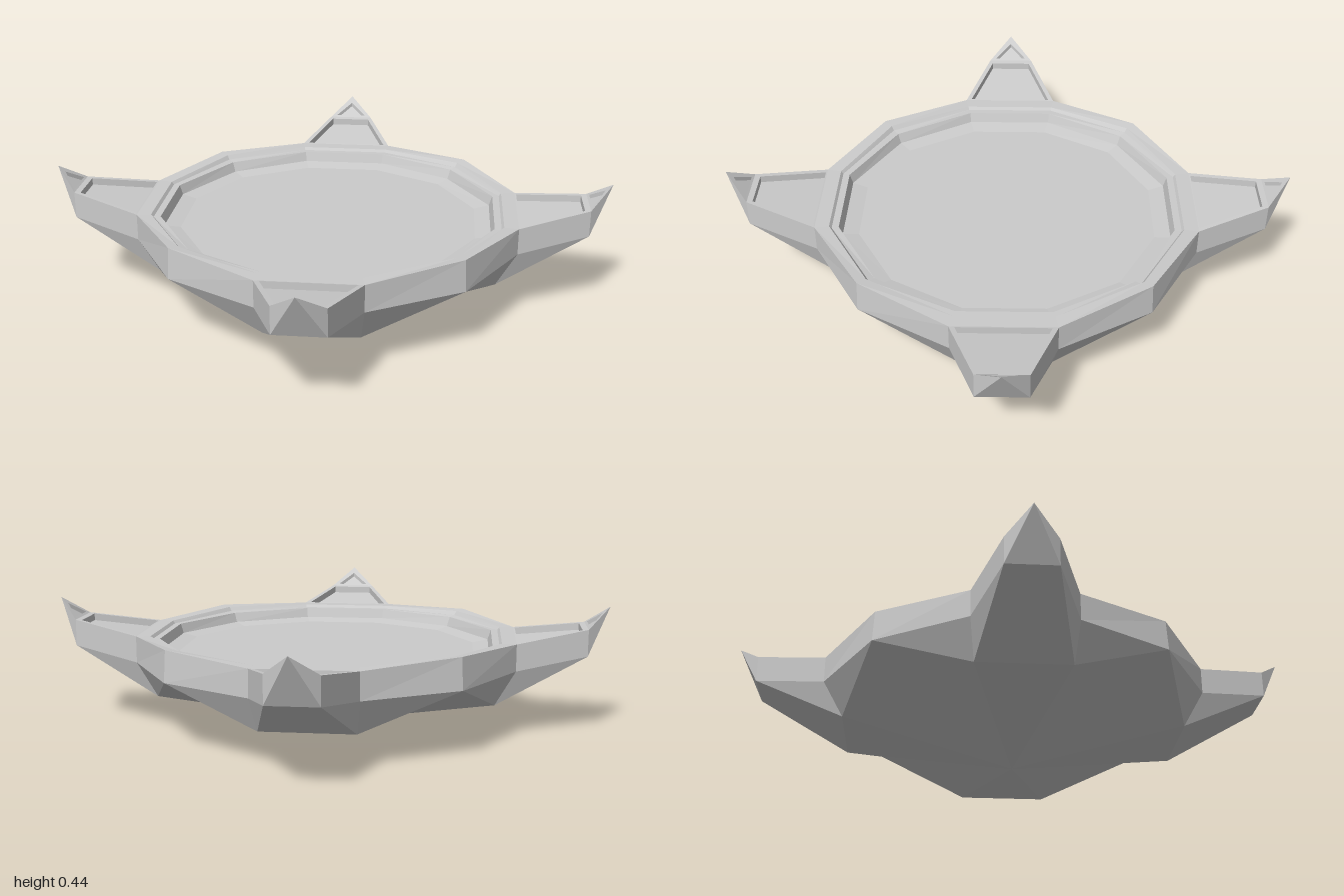
import * as THREE from 'three';

const material = new THREE.MeshStandardMaterial({ color: 0xcccccc, flatShading: true });

// Collects flat polygons (corners counterclockwise from outside) into one mesh
class Facets {
  constructor() { this.data = []; }
  face(...p) {
    for (let i = 1; i < p.length - 1; i++) this.data.push(...p[0], ...p[i], ...p[i + 1]);
    return this;
  }
  // The polygon and its mirror image across x = 0
  mirrored(...p) {
    this.face(...p);
    return this.face(...p.map(([x, y, z]) => [-x, y, z]).reverse());
  }
  // Band between two closed loops; keep(i) chooses the sides
  band(a, b, keep = () => true) {
    a.forEach((p, i) => {
      const j = (i + 1) % a.length;
      if (keep(i)) this.face(p, a[j], b[j], b[i]);
    });
    return this;
  }
  mesh(name) {
    const g = new THREE.BufferGeometry();
    g.setAttribute('position', new THREE.Float32BufferAttribute(this.data, 3));
    g.computeVertexNormals();
    const m = new THREE.Mesh(g, material);
    m.name = name;
    return m;
  }
}

// Twelve-sided loop: half side h at distance a on each axis, corner at (c, c)
function loop(h, a, y, c, cornerY = y) {
  const pts = [];
  let quarter = [[-h, y, a], [h, y, a], [c, cornerY, c]];
  for (let k = 0; k < 4; k++) {
    pts.push(...quarter);
    quarter = quarter.map(([x, py, z]) => [z, py, -x]);
  }
  return pts;
}

const lower = (pts, d) => pts.map(([x, y, z]) => [x, y - d, z]);

// Pointed arm facing +z
function createArm() {
  const arm = new THREE.Group();
  arm.name = 'arm';
  const keel = [0.16, 0.115, 0.6], base = [0.175, 0.24, 0.67], end = [0.085, 0.28, 0.92];
  const baseTop = [0.175, 0.335, 0.67], endTop = [0.085, 0.375, 0.92], tip = [0, 0.445, 1];
  const flip = ([x, y, z]) => [-x, y, z];

  arm.add(new Facets()
    .face(flip(keel), keel, end, flip(end))
    .mirrored(keel, base, end)
    .mirrored(end, base, baseTop, endTop)
    .mirrored(end, endTop, tip)
    .face(flip(end), end, tip)
    .mesh('armShell'));

  // Recessed trapezoid panel
  const pA = [0.155, 0.336, 0.675], pB = [0.075, 0.372, 0.9];
  const panel = [flip(pA), flip(pB), pB, pA];
  arm.add(new Facets()
    .band([flip(baseTop), flip(endTop), endTop, baseTop], panel)
    .band(panel, lower(panel, 0.025))
    .face(...lower(panel, 0.025))
    .mesh('armPanel'));

  // Recessed triangle at the tip
  const q = [0.06, 0.381, 0.927];
  const notch = [flip(q), [0, 0.423, 0.975], q];
  arm.add(new Facets()
    .band([flip(endTop), tip, endTop], notch)
    .band(notch, lower(notch, 0.015))
    .face(...lower(notch, 0.015))
    .mesh('tipPanel'));
  return arm;
}

export function createModel() {
  const model = new THREE.Group();
  model.name = 'fourPointedTray';

  const keel = loop(0.16, 0.6, 0.115, 0.49, 0.24);
  const wallBottom = loop(0.175, 0.67, 0.24, 0.49);
  const wallTop = loop(0.175, 0.67, 0.335, 0.485, 0.35);
  const betweenArms = (i) => i % 3 !== 0;

  // Faceted underside meeting at a point
  const underside = new Facets();
  keel.forEach((p, i) => underside.face([0, 0, 0], keel[(i + 1) % 12], p));
  underside.band(keel, wallBottom, betweenArms);
  model.add(underside.mesh('underside'));

  model.add(new Facets().band(wallBottom, wallTop, betweenArms).mesh('outerWall'));

  // Rim with a shallow step, then the drop to the tray floor
  const rimInner = loop(0.165, 0.62, 0.335, 0.458, 0.345);
  const step = loop(0.163, 0.612, 0.325, 0.45, 0.33);
  const ledge = loop(0.157, 0.588, 0.325, 0.432, 0.325);
  const wallFoot = loop(0.154, 0.577, 0.29, 0.422);
  const floorEdge = loop(0.14, 0.522, 0.28, 0.385);
  model.add(new Facets().band(wallTop, rimInner).band(rimInner, step).band(step, ledge).mesh('rim'));
  model.add(new Facets().band(ledge, wallFoot).band(wallFoot, floorEdge).mesh('innerWall'));
  model.add(new Facets().face(...floorEdge).mesh('trayFloor'));

  for (let k = 0; k < 4; k++) {
    const arm = createArm();
    arm.rotation.y = k * Math.PI / 2;
    model.add(arm);
  }
  return model;
}
